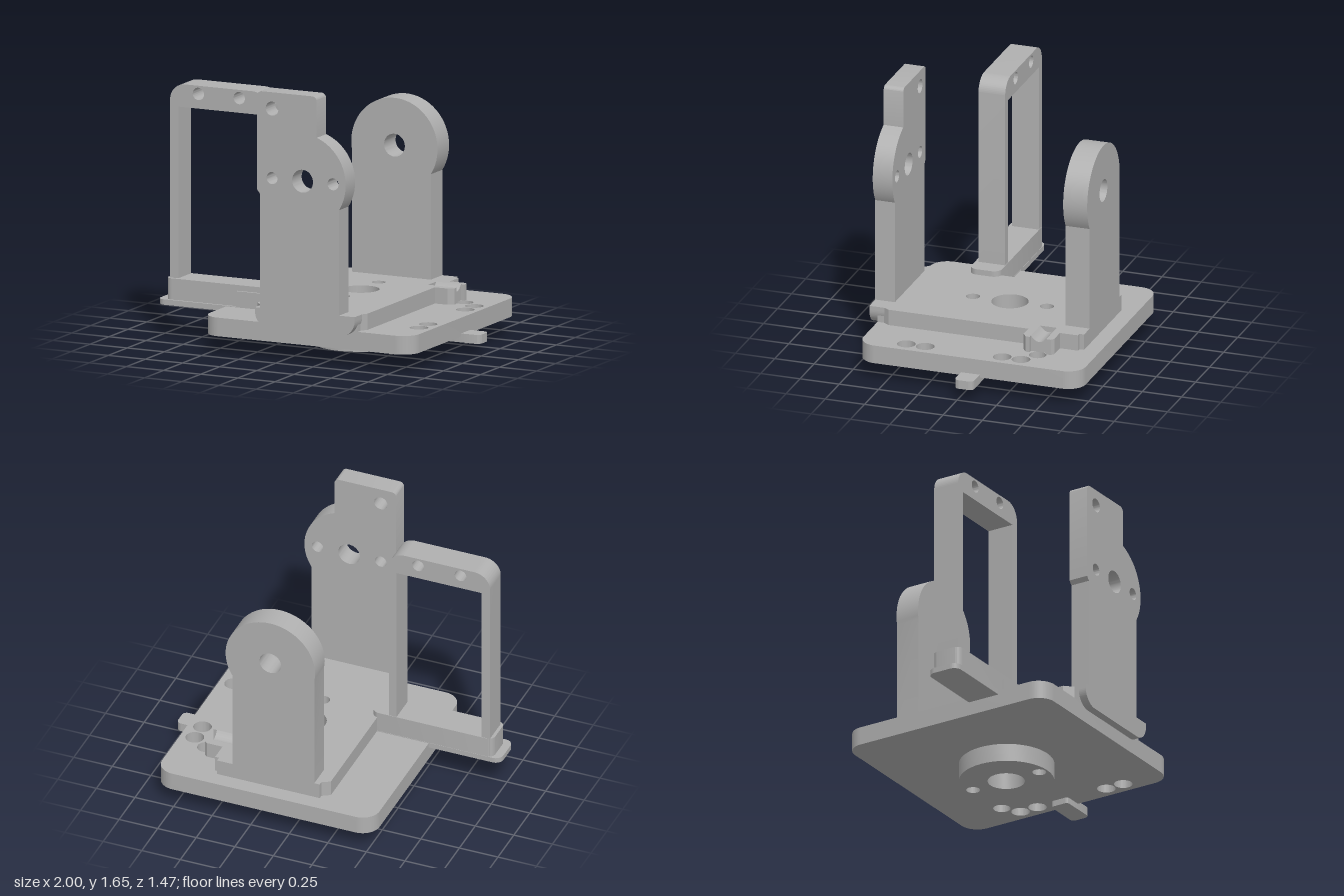
import * as THREE from 'three';
import { toCreasedNormals } from 'three/addons/utils/BufferGeometryUtils.js';

const grey = new THREE.MeshStandardMaterial({ color: 0xb0b0b0 });
grey.name = 'grey';

// Adds round holes given as [x, y, radius]
function drill(shape, holes = []) {
  for (const [x, y, r] of holes) {
    const p = new THREE.Path();
    p.absarc(x, y, r, 0, Math.PI * 2, true);
    shape.holes.push(p);
  }
  return shape;
}

// Rectangle with corner radii: bottom left, bottom right, top right, top left
function roundRect(x0, y0, x1, y1, [a, b, c, d]) {
  const s = new THREE.Shape();
  const q = Math.PI / 2;
  [[x0 + a, y0 + a, a, 2], [x1 - b, y0 + b, b, 3], [x1 - c, y1 - c, c, 0], [x0 + d, y1 - d, d, 1]]
    .forEach(([x, y, r, k], i) => {
      if (r) s.absarc(x, y, r, k * q, (k + 1) * q, false);
      else if (i) s.lineTo(x, y);
      else s.moveTo(x, y);
    });
  s.closePath();
  return s;
}

function extrude(shape, depth) {
  return new THREE.ExtrudeGeometry(shape, { depth, bevelEnabled: false, curveSegments: 24 });
}

function createMesh(name, geometry) {
  const mesh = new THREE.Mesh(toCreasedNormals(geometry, 0.5), grey);
  mesh.name = name;
  return mesh;
}

// Shape drawn in x, y and extruded from z0 to z1
const upright = (name, shape, z0, z1) => createMesh(name, extrude(shape, z1 - z0).translate(0, 0, z0));

// Shape drawn in x, -z and extruded from y0 to y1
const slab = (name, shape, y0, y1) =>
  createMesh(name, extrude(shape, y1 - y0).rotateX(-Math.PI / 2).translate(0, y0, 0));

const fromPoints = (pts) => new THREE.Shape(pts.map(([x, y]) => new THREE.Vector2(x, y)));

export function createModel() {
  const model = new THREE.Group();
  model.name = 'bracketAssembly';
  const cx = 0.17, axleY = 1.125, R = 0.29;
  const pivotHoles = [[cx, 0.04, 0.112], [cx, 0.275, 0.042], [cx, -0.195, 0.042]];

  // Pivot disc under the base
  const disc = new THREE.Shape();
  disc.absarc(cx, 0.037, 0.287, 0, Math.PI * 2, false);
  model.add(slab('pivotDisc', drill(disc, pivotHoles), 0, 0.112));

  // Base plate with pairs of holes along one side
  const base = roundRect(-0.535, -0.68, 0.875, 0.735, [0.11, 0.11, 0.11, 0.11]);
  drill(base, [...pivotHoles, [0.685, 0.4, 0.052],
    [0.785, 0.33, 0.056], [0.785, 0.21, 0.056], [0.785, -0.28, 0.056], [0.785, -0.4, 0.056]]);
  model.add(slab('basePlate', base, 0.112, 0.226));

  // Pointer tab below the base edge
  model.add(slab('pointerTab', roundRect(0.76, -0.02, 1, 0.1, [0.02, 0.03, 0.03, 0.02]), 0.075, 0.13));

  // Raised plate, notched for the cable groove
  const raised = fromPoints([
    [-0.2, -0.6], [-0.15, -0.65], [-0.15, -0.68], [0.515, -0.68], [0.515, -0.64], [0.54, -0.6],
    [0.54, 0.29], [0.625, 0.29], [0.66, 0.315], [0.66, 0.34], [0.47, 0.34], [0.47, 0.445],
    [0.66, 0.445], [0.66, 0.475], [0.64, 0.49], [0.54, 0.49], [0.54, 0.605], [0.515, 0.605],
    [0.515, 0.635], [-0.15, 0.635], [-0.15, 0.61], [-0.2, 0.58]]);
  model.add(slab('raisedPlate', drill(raised, pivotHoles), 0.226, 0.325));

  // Floor of the cable groove, with a hollow top running along x
  const groove = new THREE.Shape();
  groove.moveTo(0.34, 0.226);
  groove.lineTo(0.445, 0.226);
  groove.lineTo(0.445, 0.325);
  groove.quadraticCurveTo(0.3925, 0.255, 0.34, 0.325);
  groove.closePath();
  model.add(createMesh('cableGroove', extrude(groove, 0.167).rotateY(-Math.PI / 2)
    .scale(-1, 1, -1).translate(0.47, 0, 0)));

  // Rear bearing plate with a round head
  const a0 = -Math.acos(0.245 / R), a1 = Math.PI + Math.acos(0.285 / R);
  const rear = new THREE.Shape();
  rear.moveTo(-0.115, 0.32);
  rear.lineTo(0.415, 0.32);
  rear.absarc(cx, axleY, R, a0, a1, false);
  rear.closePath();
  model.add(upright('rearBearingPlate', drill(rear, [[cx, axleY, 0.07]]), -0.635, -0.482));

  // Front bearing plate with a tall tongue on one side
  const front = new THREE.Shape();
  front.moveTo(-0.115, 0.32);
  front.lineTo(0.415, 0.32);
  front.absarc(cx, axleY, R, a0, Math.acos(0.095 / R), false);
  front.absarc(0.235, 1.62, 0.03, 0, Math.PI / 2, false);
  front.absarc(-0.105, 1.62, 0.03, Math.PI / 2, Math.PI, false);
  front.lineTo(-0.135, 1.045);
  front.lineTo(-0.115, 1.02);
  front.closePath();
  drill(front, [[cx, axleY, 0.07], [-0.035, axleY, 0.037], [0.375, axleY, 0.037], [-0.035, 1.55, 0.043]]);
  model.add(upright('frontBearingPlate', front, 0.605, 0.73));
  model.add(upright('frontFoot', roundRect(-0.15, 0.2, 0.52, 0.325, [0.1, 0.1, 0, 0]), 0.605, 0.73));

  // Side frame with a tall opening and two screw holes
  const frame = roundRect(-0.93, 0.23, -0.275, 1.55, [0, 0, 0.1, 0.1]);
  frame.holes.push(new THREE.Path([[-0.875, 0.34], [-0.875, 1.41], [-0.325, 1.41], [-0.325, 0.34]]
    .map(([x, y]) => new THREE.Vector2(x, y))));
  drill(frame, [[-0.74, 1.5, 0.038], [-0.465, 1.5, 0.038]]);
  model.add(upright('sideFrame', frame, 0.15, 0.32));

  // Bar, runner and support block under the side frame
  model.add(slab('frameBar', roundRect(-0.95, -0.34, -0.16, -0.147, [0.04, 0.05, 0.05, 0.04]), 0.226, 0.36));
  model.add(slab('frameRunner', roundRect(-1, -0.355, -0.2, -0.145, [0.05, 0, 0, 0.05]), 0.197, 0.23));
  model.add(slab('frameSupport', roundRect(-0.47, -0.355, -0.19, -0.16, [0, 0, 0, 0]), 0.22, 0.325));
  return model;
}
